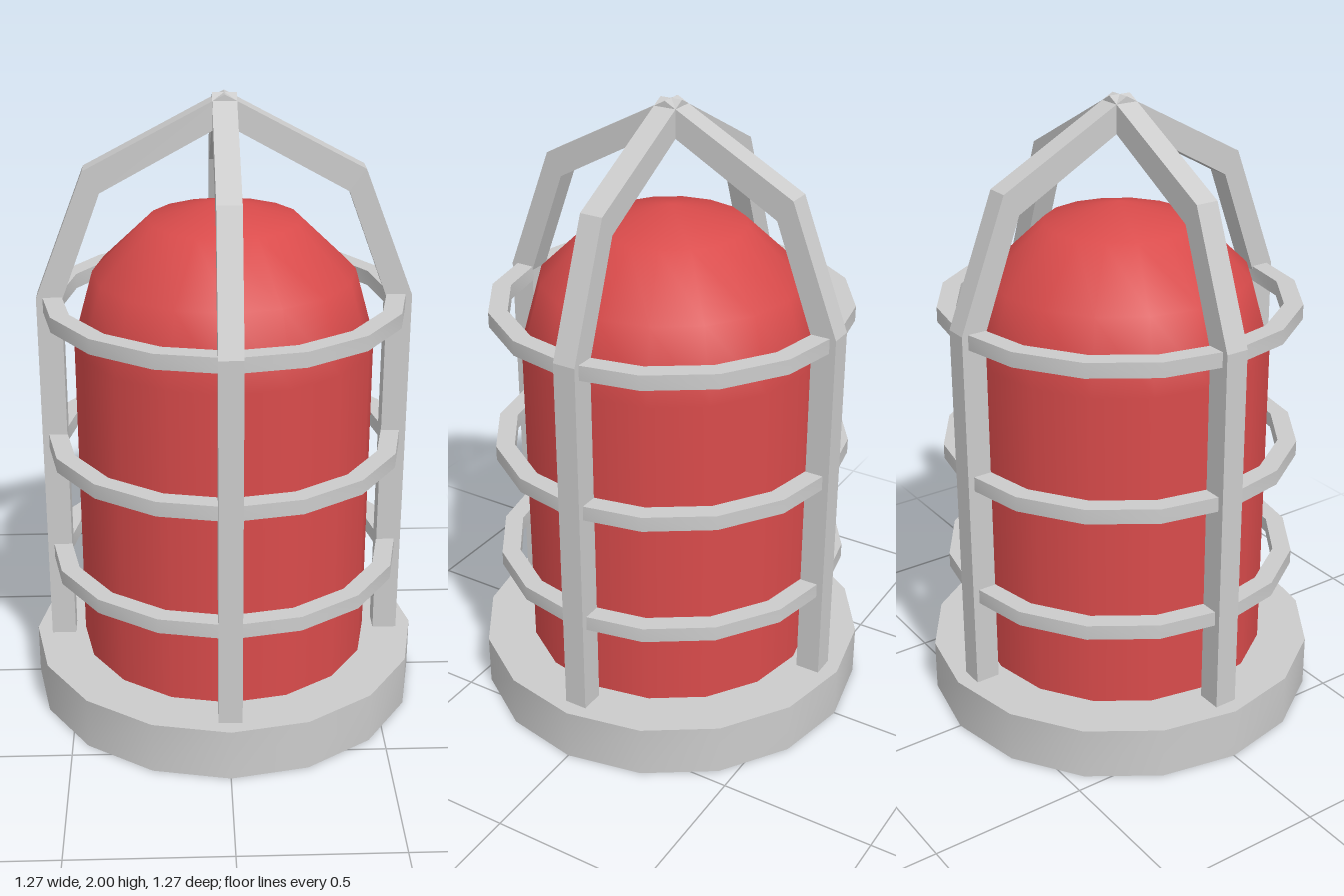
import * as THREE from 'three';
import { toCreasedNormals } from 'three/addons/utils/BufferGeometryUtils.js';

const SIDES = 16;
const BASE_TOP = 0.17;
const GLASS_TOP = 1.22;
const GLASS_RADIUS = 0.475;

const metal = new THREE.MeshStandardMaterial({ color: 0xcccccc });
const redGlass = new THREE.MeshStandardMaterial({ color: 0xd94b4b });

function part(name, geometry, material) {
  const mesh = new THREE.Mesh(geometry, material);
  mesh.name = name;
  return mesh;
}

// Flat hoop with a rectangular section
function hoopGeometry(inner, outer, height) {
  const h = height / 2;
  const section = [[inner, -h], [outer, -h], [outer, h], [inner, h], [inner, -h]]
    .map(([r, y]) => new THREE.Vector2(r, y));
  return toCreasedNormals(new THREE.LatheGeometry(section, SIDES), 0.6);
}

// Pointed arch of square bar, spanning the lamp from side to side
function archGeometry(width) {
  const outer = [[0.586, BASE_TOP], [0.586, 1.37], [0.43, 1.772]];
  const inner = [[0.38, 1.703], [0.507, 1.36], [0.507, BASE_TOP]];
  const mirror = (list) => list.map(([x, y]) => [-x, y]).reverse();
  const outline = [...outer, [0, 2], ...mirror(outer), ...mirror(inner), [0, 1.912], ...inner];
  const shape = new THREE.Shape(outline.map(([x, y]) => new THREE.Vector2(x, y)));
  const geometry = new THREE.ExtrudeGeometry(shape, { depth: width, bevelEnabled: false });
  return geometry.translate(0, 0, -width / 2);
}

export function createModel() {
  const model = new THREE.Group();
  model.name = 'cagedWarningLamp';

  // Round mounting base
  const base = part('base', toCreasedNormals(
    new THREE.CylinderGeometry(0.637, 0.637, BASE_TOP, SIDES), 0.6), metal);
  base.position.y = BASE_TOP / 2;
  model.add(base);

  // Red glass: straight body and faceted-outline dome
  const glass = new THREE.Group();
  glass.name = 'glass';
  const bodyHeight = GLASS_TOP - BASE_TOP;
  const body = part('glassBody',
    new THREE.CylinderGeometry(GLASS_RADIUS, GLASS_RADIUS, bodyHeight, SIDES, 1, true), redGlass);
  body.position.y = BASE_TOP + bodyHeight / 2;
  const dome = part('glassDome',
    new THREE.SphereGeometry(GLASS_RADIUS, SIDES, 3, 0, Math.PI * 2, 0, Math.PI / 2), redGlass);
  dome.scale.y = 0.955;
  dome.position.y = GLASS_TOP;
  glass.add(body, dome);
  model.add(glass);

  // Protective cage: two crossed arches and three hoops
  const cage = new THREE.Group();
  cage.name = 'cage';
  const arch = archGeometry(0.074);
  ['sideArch', 'frontBackArch'].forEach((name, i) => {
    const mesh = part(name, arch, metal);
    mesh.rotation.y = i * Math.PI / 2;
    cage.add(mesh);
  });
  const hoop = hoopGeometry(0.513, 0.573, 0.048);
  [0.486, 0.884, 1.349].forEach((y, i) => {
    const mesh = part(`hoop${i + 1}`, hoop, metal);
    mesh.position.y = y;
    cage.add(mesh);
  });
  model.add(cage);

  return model;
}
